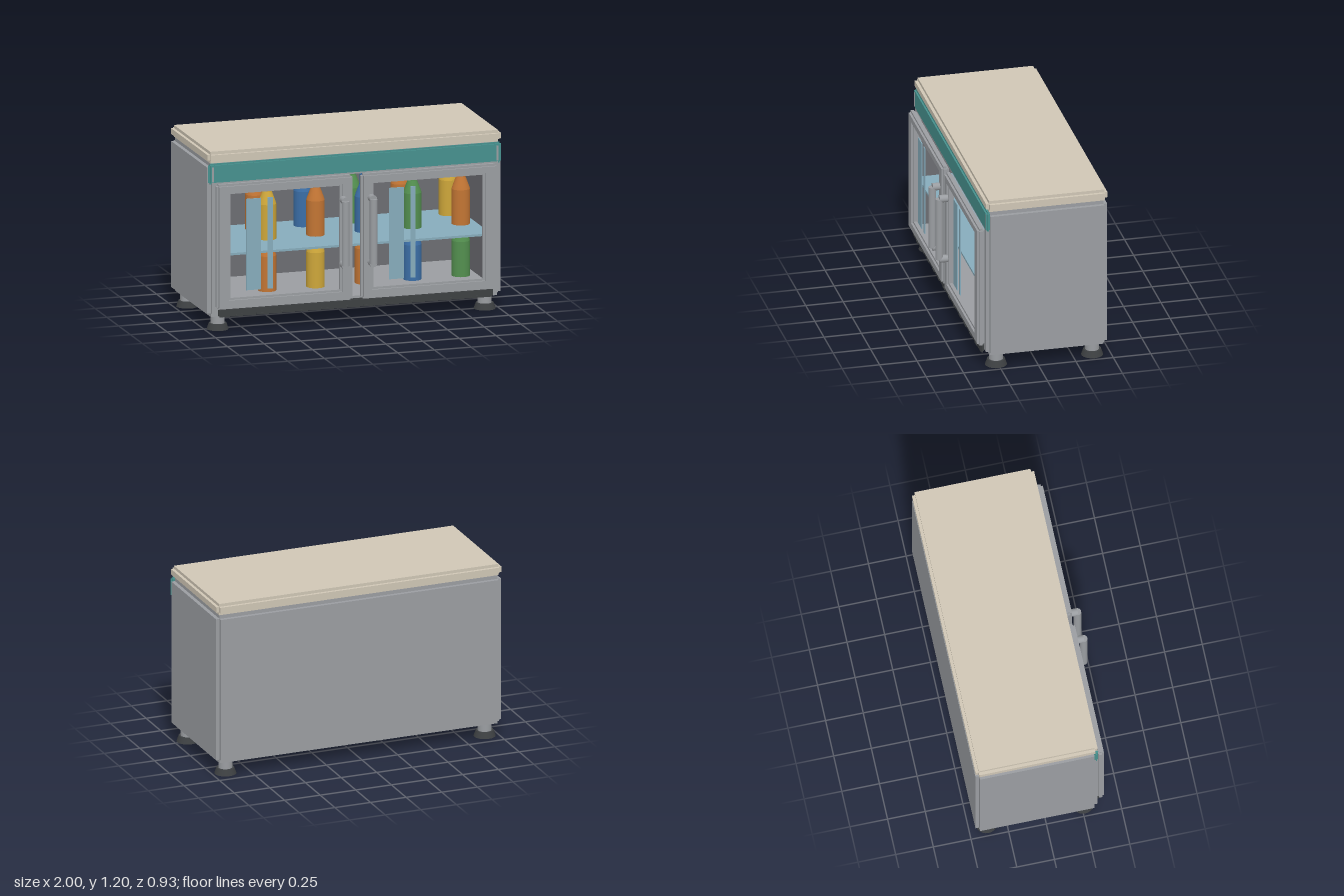
import * as THREE from 'three';

const mat = (name, color) => {
  const m = new THREE.MeshStandardMaterial({ color });
  m.name = name;
  return m;
};

export function createModel() {
  const steel = mat('steel', 0x9a9da1);
  const liner = mat('dark liner', 0x6c6d72);
  const stone = mat('worktop beige', 0xcfc6b5);
  const teal = mat('teal', 0x47918e);
  const black = mat('charcoal', 0x3d4042);
  const glass = mat('pale blue glass', 0x86abbb);
  const orange = mat('orange', 0xc27534);
  const yellow = mat('yellow', 0xcda63a);
  const blue = mat('blue', 0x3b6ea6);
  const green = mat('green', 0x538f4f);

  const root = new THREE.Group();
  root.name = 'displayFridge';

  const add = (parent, name, geo, material, x = 0, y = 0, z = 0) => {
    const m = new THREE.Mesh(geo, material);
    m.name = name;
    m.position.set(x, y, z);
    parent.add(m);
    return m;
  };
  const group = (parent, name) => {
    const g = new THREE.Group();
    g.name = name;
    parent.add(g);
    return g;
  };
  // box given by its limits on each axis
  const box = (parent, name, material, [x0, x1], [y0, y1], [z0, z1]) =>
    add(parent, name, new THREE.BoxGeometry(x1 - x0, y1 - y0, z1 - z0), material,
      (x0 + x1) / 2, (y0 + y1) / 2, (z0 + z1) / 2);
  // block with stepped edges: three boxes, each full size along one axis
  const stepped = (parent, name, material, xs, ys, zs, b) => {
    const g = group(parent, name);
    const cut = ([lo, hi]) => [lo + b, hi - b];
    box(g, name + 'Wide', material, xs, cut(ys), cut(zs));
    box(g, name + 'Tall', material, cut(xs), ys, cut(zs));
    box(g, name + 'Deep', material, cut(xs), cut(ys), zs);
  };

  // cabinet shell
  const cabinet = group(root, 'cabinet');
  box(cabinet, 'floor', steel, [-0.975, 0.975], [0.095, 0.17], [-0.44, 0.32]);
  box(cabinet, 'roof', steel, [-0.975, 0.975], [1.0, 1.12], [-0.44, 0.32]);
  box(cabinet, 'backWall', steel, [-0.975, 0.975], [0.12, 1.095], [-0.465, -0.40]);
  box(cabinet, 'linerBack', liner, [-0.94, 0.94], [0.17, 1.0], [-0.40, -0.394]);
  box(cabinet, 'frontSill', steel, [-0.975, 0.975], [0.12, 0.17], [0.32, 0.345]);
  box(cabinet, 'frontHeader', steel, [-0.975, 0.975], [0.985, 1.095], [0.32, 0.345]);
  for (const s of [-1, 1]) {
    const span = (a, b) => (s > 0 ? [a, b] : [-b, -a]);
    box(cabinet, 'sideWall', steel, span(0.94, 1), [0.12, 1.095], [-0.44, 0.32]);
    box(cabinet, 'linerSide', liner, span(0.934, 0.94), [0.17, 1.0], [-0.394, 0.31]);
    box(cabinet, 'frontPost', steel, span(0.935, 0.975), [0.17, 0.985], [0.32, 0.345]);
    box(cabinet, 'headerTrim', steel, span(0.962, 0.976), [1.0, 1.1], [0.34, 0.349]);
  }

  // worktop, header panel and grille
  stepped(root, 'worktop', stone, [-1, 1], [1.122, 1.2], [-0.465, 0.345], 0.02);
  stepped(root, 'headerPanel', teal, [-0.998, 0.998], [0.985, 1.122], [0.32, 0.347], 0.011);
  stepped(root, 'grille', black, [-0.935, 0.935], [0.098, 0.156], [0.345, 0.37], 0.008);
  for (let i = 0; i < 12; i++) {
    const x = -0.8 + i * 0.146;
    box(root, 'grilleSlat', black, [x - 0.025, x + 0.025], [0.106, 0.114], [0.368, 0.374]);
  }

  // feet
  for (const x of [-0.91, 0.91]) for (const z of [0.262, -0.38]) {
    const foot = group(root, 'foot');
    add(foot, 'footPad', new THREE.CylinderGeometry(0.058, 0.072, 0.04, 24), black, x, 0.02, z);
    add(foot, 'footStem', new THREE.CylinderGeometry(0.046, 0.046, 0.06, 24), steel, x, 0.07, z);
  }

  // doors with handles and glass glints
  for (const s of [-1, 1]) {
    const door = group(root, s < 0 ? 'rightDoor' : 'leftDoor');
    const span = (a, b) => (s > 0 ? [a, b] : [-b, -a]);
    const z = [0.345, 0.395];
    stepped(door, 'outerStile', steel, span(0.86, 0.955), [0.155, 0.99], z, 0.014);
    stepped(door, 'innerStile', steel, span(0.03, 0.115), [0.155, 0.99], z, 0.014);
    stepped(door, 'bottomRail', steel, span(0.04, 0.945), [0.155, 0.228], z, 0.014);
    stepped(door, 'topRail', steel, span(0.04, 0.945), [0.922, 0.99], z, 0.014);

    const handle = group(door, 'handle');
    const hx = s * 0.095;
    add(handle, 'grip', new THREE.CylinderGeometry(0.025, 0.025, 0.43, 20), steel, hx, 0.615, 0.442);
    for (const y of [0.4, 0.83])
      add(handle, 'mount', new THREE.CylinderGeometry(0.025, 0.025, 0.055, 20), steel, hx, y, 0.415)
        .rotation.x = Math.PI / 2;

    const x0 = s < 0 ? -0.752 : 0.222;
    box(door, 'wideGlint', glass, [x0, x0 + 0.1], [0.27, 0.88], [0.372, 0.378]);
    box(door, 'narrowGlint', glass, [x0 + 0.146, x0 + 0.181], [0.27, 0.88], [0.372, 0.378]);
  }

  // shelf and bottles
  box(root, 'shelf', glass, [-0.93, 0.93], [0.5, 0.515], [-0.39, 0.335]);
  const profile = [[0, 0], [0.06, 0], [0.06, 0.235], [0.052, 0.26], [0.03, 0.318], [0.027, 0.4], [0, 0.4]];
  const parts = [profile.slice(0, 2), profile.slice(1, 3), profile.slice(2, 5), profile.slice(4, 6), profile.slice(5)]
    .map(p => new THREE.LatheGeometry(p.map(([r, y]) => new THREE.Vector2(r, y)), 20));
  const rows = [
    [0.515, 0.02, [orange, yellow, orange, blue, green, orange]],
    [0.515, -0.25, [yellow, orange, blue, green, orange, yellow]],
    [0.17, 0.02, [green, orange, yellow, orange, blue, green]],
  ];
  for (const [y, z, colors] of rows) colors.forEach((c, i) => {
    const bottle = group(root, 'bottle');
    bottle.position.set(-0.825 + i * 0.33, y, z);
    for (const g of parts) add(bottle, 'bottlePart', g, c);
  });

  return root;
}
